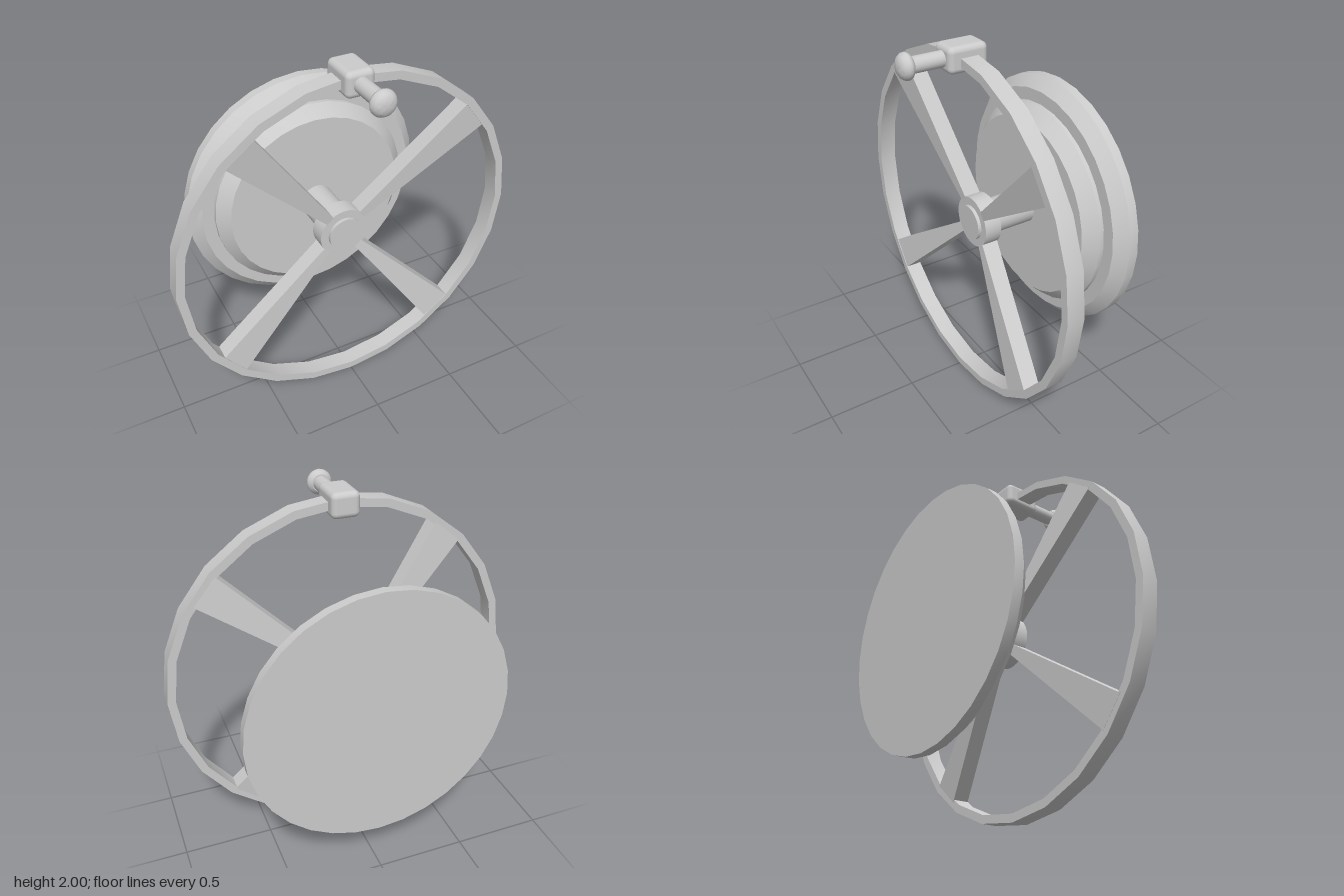
import * as THREE from 'three';
import { toCreasedNormals } from 'three/addons/utils/BufferGeometryUtils.js';
import { RoundedBoxGeometry } from 'three/addons/geometries/RoundedBoxGeometry.js';

const material = new THREE.MeshStandardMaterial({ color: 0xcccccc });
const AXIS_Y = 0.98;
const HANDLE_Y = 1.933;

// Turned part along z; profile is [radius, z] from back to front
function turned(name, profile, sides, y) {
  const points = profile.map(([r, z]) => new THREE.Vector2(r, z));
  const geometry = new THREE.LatheGeometry(points, sides).rotateX(Math.PI / 2);
  const mesh = new THREE.Mesh(toCreasedNormals(geometry, 0.6), material);
  mesh.name = name;
  mesh.position.y = y;
  return mesh;
}

// Dished spoke: narrow at the hub, wide and further forward at the rim
function spokeGeometry() {
  const geometry = new THREE.BoxGeometry(1, 1, 1);
  const p = geometry.attributes.position;
  const lerp = THREE.MathUtils.lerp;
  for (let i = 0; i < p.count; i++) {
    const t = p.getX(i) + 0.5;
    p.setXYZ(
      i,
      lerp(0.125, 0.935, t),
      p.getY(i) * lerp(0.048, 0.188, t),
      p.getZ(i) * 0.094 + lerp(0.031, 0.126, t)
    );
  }
  geometry.computeVertexNormals();
  return geometry;
}

export function createModel() {
  const model = new THREE.Group();
  model.name = 'handwheel';

  // Stepped mounting plate with bevelled tiers
  model.add(turned('mountingPlate', [
    [0, -0.467], [0.717, -0.467], [0.717, -0.415], [0.655, -0.355],
    [0.585, -0.355], [0.585, -0.332], [0.52, -0.264], [0, -0.264],
  ], 32, AXIS_Y));

  // Axle and hub
  model.add(turned('axle', [
    [0, -0.27], [0.097, -0.27], [0.097, 0.098], [0, 0.098],
  ], 32, AXIS_Y));
  model.add(turned('hub', [
    [0, -0.018], [0.143, -0.018], [0.143, 0.079], [0, 0.079],
  ], 32, AXIS_Y));

  // Rim
  model.add(turned('rim', [
    [0.93, 0.08], [0.975, 0.08], [0.975, 0.175], [0.93, 0.175], [0.93, 0.08],
  ], 24, AXIS_Y));

  // Four spokes
  const spoke = spokeGeometry();
  for (let i = 0; i < 4; i++) {
    const mesh = new THREE.Mesh(spoke, material);
    mesh.name = `spoke${i + 1}`;
    mesh.position.y = AXIS_Y;
    mesh.rotation.z = THREE.MathUtils.degToRad(39.4 + 90 * i);
    model.add(mesh);
  }

  // Clamp block on the rim
  const clamp = new THREE.Mesh(new RoundedBoxGeometry(0.152, 0.134, 0.215, 3, 0.03), material);
  clamp.name = 'handleClamp';
  clamp.position.set(0, HANDLE_Y, 0.128);
  model.add(clamp);

  // Crank handle: rod and domed knob
  model.add(turned('handleRod', [
    [0, 0.2], [0.041, 0.2], [0.041, 0.42], [0, 0.42],
  ], 24, HANDLE_Y));
  model.add(turned('handleKnob', [
    [0, 0.397], [0.046, 0.397], [0.06, 0.407], [0.067, 0.42], [0.066, 0.434],
    [0.056, 0.451], [0.04, 0.462], [0.02, 0.467], [0, 0.469],
  ], 24, HANDLE_Y));

  return model;
}
